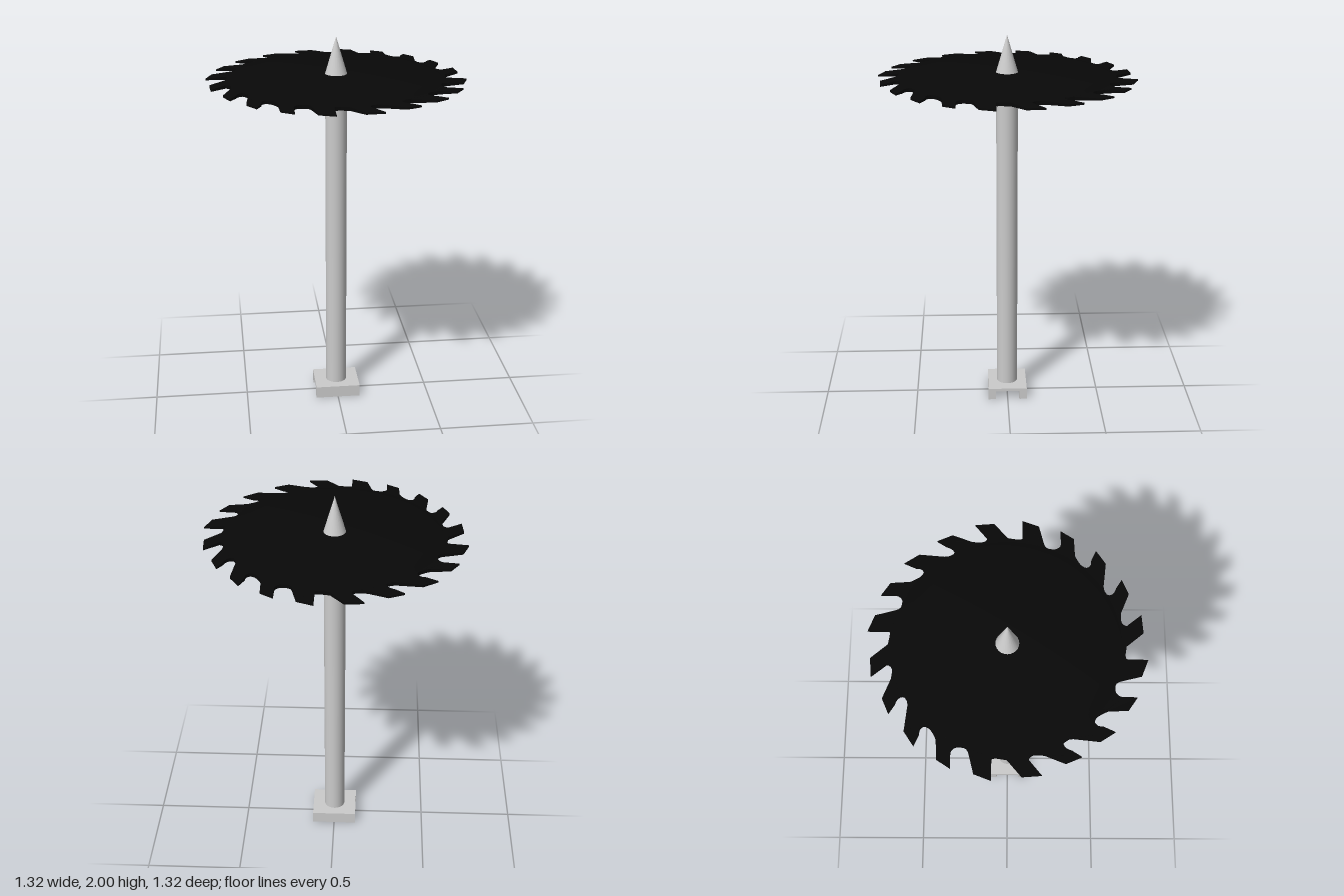
import * as THREE from 'three';

const grey = () => new THREE.MeshStandardMaterial({ color: 0xcccccc });
const black = () => new THREE.MeshStandardMaterial({ color: 0x080808, side: THREE.DoubleSide });

const RIM = 0.54; // where the solid disc meets the toothed ring
const BLADE_Y = 1.779;

// Lens-shaped section: blade surface height at radius r
const topAt = (r) => 0.004 + 0.027 * Math.max(0, 1 - (r / 0.66) ** 2);
const bottomAt = (r) => -0.004 - 0.008 * Math.max(0, 1 - (r / 0.66) ** 2);

// Five teeth of one quarter: tip, back, then five points round the gullet (x, y in hundredths / 2.835)
const TEETH = [
  [20, 187, 43, 178, 49, 153, 53, 144, 65, 142, 72, 147, 73, 154],
  [73, 171, 91, 159, 92, 132, 99, 119, 107, 114, 113, 118, 114, 125],
  [121, 141, 134, 121, 130, 86, 132, 76, 138, 73, 144, 77, 147, 84],
  [155, 97, 164, 76, 153, 49, 152, 38, 154, 31, 159, 28, 162, 30],
  [180, 45, 182, 19, 159, 0, 158, -6, 157, -12, 157, -17, 158, -20],
];

function bladeOutline() {
  const outline = [];
  for (let quarter = 0; quarter < 4; quarter++) {
    for (const tooth of TEETH) {
      const p = [];
      for (let i = 0; i < tooth.length; i += 2) {
        p.push(new THREE.Vector2(tooth[i], tooth[i + 1]).divideScalar(283.5)
          .rotateAround(new THREE.Vector2(), -quarter * Math.PI / 2));
      }
      outline.push(p[0], p[1], ...new THREE.SplineCurve(p.slice(2)).getPoints(12));
    }
  }
  return outline;
}

function toothedRing() {
  const shape = new THREE.Shape(bladeOutline());
  shape.holes.push(new THREE.Path().absarc(0, 0, RIM, 0, Math.PI * 2, true));
  const geo = new THREE.ExtrudeGeometry(shape, { depth: 1, bevelEnabled: false, curveSegments: 48 });
  geo.rotateX(-Math.PI / 2);
  // Thin the flat ring to the lens section
  const pos = geo.attributes.position;
  for (let i = 0; i < pos.count; i++) {
    const r = Math.hypot(pos.getX(i), pos.getZ(i));
    pos.setY(i, pos.getY(i) > 0.5 ? topAt(r) : bottomAt(r));
  }
  geo.computeVertexNormals();
  return geo;
}

function discGeometry() {
  const radii = Array.from({ length: 9 }, (_, i) => (i / 8) * RIM);
  const profile = [
    ...radii.map((r) => new THREE.Vector2(r, bottomAt(r))),
    ...radii.reverse().map((r) => new THREE.Vector2(r, topAt(r))),
  ];
  return new THREE.LatheGeometry(profile, 96);
}

// Channel section extruded along x, open underneath
function footGeometry() {
  const w = 0.105, inner = 0.064, h = 0.064, roof = 0.048, length = 0.24;
  const section = new THREE.Shape([
    [-w, 0], [-inner, 0], [-inner, roof], [inner, roof], [inner, 0], [w, 0], [w, h], [-w, h],
  ].map(([x, y]) => new THREE.Vector2(x, y)));
  return new THREE.ExtrudeGeometry(section, { depth: length, bevelEnabled: false })
    .translate(0, 0, -length / 2).rotateY(Math.PI / 2);
}

export function createModel() {
  const model = new THREE.Group();
  const add = (parent, name, geometry, material, y = 0) => {
    const mesh = new THREE.Mesh(geometry, material);
    mesh.name = name;
    mesh.position.y = y;
    parent.add(mesh);
  };

  add(model, 'foot', footGeometry(), grey());

  // Shaft from the foot up into the blade
  const shaftTop = 1.785, shaftBottom = 0.06;
  add(model, 'shaft', new THREE.CylinderGeometry(0.056, 0.056, shaftTop - shaftBottom, 24),
    grey(), (shaftTop + shaftBottom) / 2);

  // Spike above the blade
  add(model, 'spike', new THREE.ConeGeometry(0.059, 0.2, 24), grey(), 1.9);

  const blade = new THREE.Group();
  blade.name = 'sawBlade';
  blade.position.y = BLADE_Y;
  add(blade, 'bladeDisc', discGeometry(), black());
  add(blade, 'bladeTeeth', toothedRing(), black());
  model.add(blade);

  return model;
}
